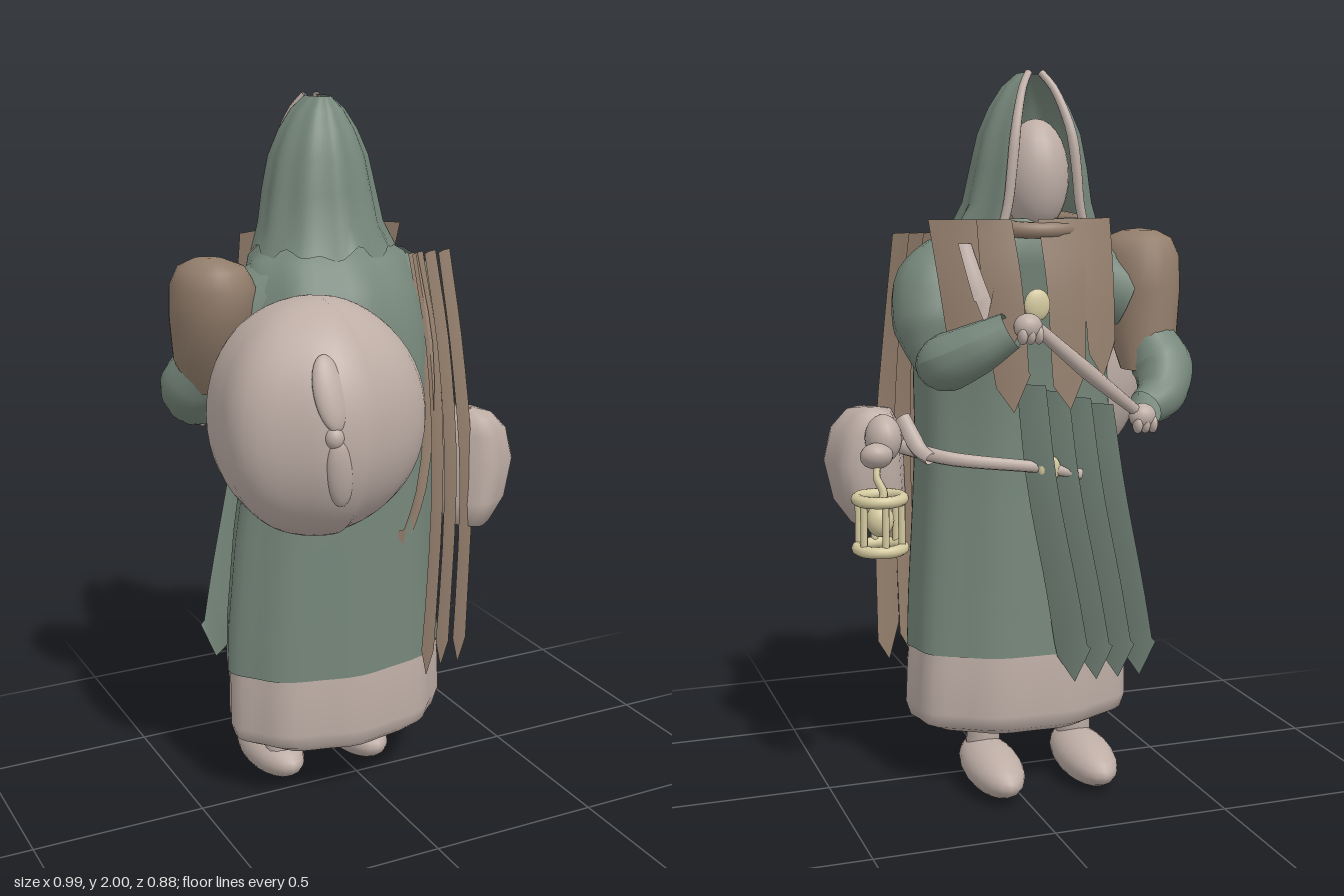
import * as THREE from 'three';

const mat = (name, color) => {
  const m = new THREE.MeshStandardMaterial({ color, side: THREE.DoubleSide });
  m.name = name;
  return m;
};
const V = (p) => new THREE.Vector3(...p);

export function createModel() {
  const green = mat('green cloth', 0x76877b), beige = mat('pale cloth', 0xbeaea6);
  const brown = mat('brown cloth', 0x937e6c), brass = mat('brass', 0xd4c99f);
  const model = new THREE.Group();
  model.name = 'hoodedTraveller';

  const add = (name, geo, m, parent = model) => {
    const mesh = new THREE.Mesh(geo, m);
    mesh.name = name;
    parent.add(mesh);
    return mesh;
  };
  const ball = (name, pos, r, m, rot = [0, 0, 0], parent = model) => {
    const b = add(name, new THREE.SphereGeometry(1, 20, 14), m, parent);
    b.position.set(...pos);
    b.scale.set(...r);
    b.rotation.set(...rot);
    return b;
  };

  // Surface through sections [y, cx, cz, rx, rz], bottom up; angle 0 is +z
  function loft(rows, { from = 0, to = Math.PI * 2, n = 48, wave = 0, folds = 9, ragged = 0 } = {}) {
    const closed = to - from > 6.28, cols = closed ? n : n + 1, pos = [], idx = [];
    rows.forEach(([y, cx, cz, rx, rz], j) => {
      for (let i = 0; i < cols; i++) {
        const a = from + (to - from) * i / n;
        const k = 1 + wave * Math.cos(folds * a + 0.4);
        const dy = j === 0 ? ragged * (Math.sin(a * 11) + Math.sin(a * 7 + 1)) : 0;
        pos.push(cx + rx * k * Math.sin(a), y + dy, cz + rz * k * Math.cos(a));
        if (j < rows.length - 1 && i < n) {
          const p = j * cols + i, q = j * cols + (i + 1) % cols;
          idx.push(p, q, q + cols, p, q + cols, p + cols);
        }
      }
    });
    const g = new THREE.BufferGeometry();
    g.setAttribute('position', new THREE.Float32BufferAttribute(pos, 3));
    g.setIndex(idx);
    g.computeVertexNormals();
    return g;
  }

  // Tube along points with a radius per point
  function limb(points, radii, sides = 14) {
    const n = 16, curve = new THREE.CatmullRomCurve3(points.map(V));
    const g = new THREE.TubeGeometry(curve, n, 1, sides), p = g.attributes.position;
    for (let i = 0; i <= n; i++) {
      const c = curve.getPointAt(i / n), t = i / n * (radii.length - 1);
      const k = Math.min(Math.floor(t), radii.length - 2);
      const r = THREE.MathUtils.lerp(radii[k], radii[k + 1], t - k);
      for (let s = 0; s <= sides; s++) {
        const q = i * (sides + 1) + s, v = new THREE.Vector3().fromBufferAttribute(p, q);
        v.sub(c).multiplyScalar(r).add(c);
        p.setXYZ(q, v.x, v.y, v.z);
      }
    }
    g.computeVertexNormals();
    return g;
  }

  // Hanging ribbon with a slanted, torn end
  function ribbon(points, w0, w1, across = [1, 0, 0], tear = 0.05) {
    const n = 10, curve = new THREE.CatmullRomCurve3(points.map(V)), d = V(across).normalize();
    const pos = [], idx = [];
    for (let i = 0; i <= n; i++) {
      const c = curve.getPoint(i / n), w = THREE.MathUtils.lerp(w0, w1, i / n) / 2;
      [-1, 0, 1].forEach((s) => {
        const v = c.clone().addScaledVector(d, s * w);
        if (i === n) v.y += [tear, -tear, tear * 0.3][s + 1];
        pos.push(v.x, v.y, v.z + (s === 0 ? -0.008 : 0));
      });
      if (i < n) for (let s = 0; s < 2; s++) {
        const p = i * 3 + s;
        idx.push(p, p + 3, p + 4, p, p + 4, p + 1);
      }
    }
    const g = new THREE.BufferGeometry();
    g.setAttribute('position', new THREE.Float32BufferAttribute(pos, 3));
    g.setIndex(idx);
    g.computeVertexNormals();
    return g;
  }

  // Robe and its pale hem
  add('robe', loft([
    [0.41, -0.065, -0.03, 0.33, 0.205], [0.55, -0.065, -0.028, 0.325, 0.203], [0.8, -0.06, -0.025, 0.305, 0.2],
    [1.0, -0.05, -0.022, 0.285, 0.197], [1.2, -0.04, -0.03, 0.28, 0.2],
    [1.38, -0.035, -0.05, 0.275, 0.205], [1.5, -0.035, -0.085, 0.255, 0.195],
    [1.57, -0.04, -0.11, 0.225, 0.175], [1.62, -0.045, -0.13, 0.15, 0.12],
  ], { wave: 0.02 }), green);
  add('hem', loft([
    [0.18, -0.06, -0.025, 0.27, 0.175], [0.2, -0.06, -0.03, 0.315, 0.2], [0.24, -0.06, -0.03, 0.328, 0.21],
    [0.36, -0.062, -0.03, 0.325, 0.208], [0.42, -0.065, -0.03, 0.322, 0.203],
  ], { wave: 0.025 }), beige);

  // Hood, open towards -z, with corded rim and face
  const hoodRows = [
    [1.59, -0.045, -0.12, 0.2, 0.18], [1.66, -0.045, -0.135, 0.172, 0.165],
    [1.75, -0.045, -0.145, 0.155, 0.155], [1.84, -0.045, -0.148, 0.135, 0.142],
    [1.91, -0.045, -0.148, 0.105, 0.115], [1.965, -0.045, -0.148, 0.07, 0.085],
    [2.0, -0.045, -0.148, 0.03, 0.055],
  ];
  const gap = 0.62;
  add('hood', loft(hoodRows, { from: gap - Math.PI, to: Math.PI - gap, wave: 0.03, folds: 10, ragged: 0.012 }), green);
  [-1, 1].forEach((s) => {
    const rim = hoodRows.map(([y, cx, cz, rx, rz]) =>
      [cx + s * rx * Math.sin(gap), y, cz - rz * Math.cos(gap)]);
    add('hoodCord', limb(rim, [0.013, 0.015, 0.01], 8), beige);
  });
  ball('face', [-0.045, 1.73, -0.2], [0.09, 0.15, 0.095], beige);

  // Shoes and ankles
  [-0.22, 0.06].forEach((x) => {
    ball('shoe', [x, 0.072, -0.145], [0.08, 0.066, 0.175], beige, [-0.05, 0, 0]);
    add('ankle', limb([[x, 0.4, -0.05], [x, 0.2, -0.07], [x, 0.08, -0.06]], [0.06, 0.045, 0.05]), beige);
  });

  // Left arm: full upper sleeve, forearm bent across the chest
  ball('leftShoulder', [0.15, 1.46, -0.1], [0.125, 0.11, 0.13], green);
  add('leftUpperSleeve', limb([[0.14, 1.5, -0.1], [0.21, 1.42, -0.14], [0.235, 1.3, -0.19], [0.24, 1.22, -0.22]],
    [0.1, 0.125, 0.11, 0.05]), green);
  add('leftForearm', limb([[0.24, 1.235, -0.2], [0.235, 1.25, -0.29], [0.17, 1.29, -0.35], [0.09, 1.34, -0.39]],
    [0.05, 0.078, 0.068, 0.05]), green);

  // Right arm: brown overlay bulging at the top, green forearm
  add('rightOversleeve', loft([
    [1.2, -0.37, -0.19, 0.06, 0.07], [1.3, -0.385, -0.15, 0.095, 0.105], [1.42, -0.385, -0.12, 0.112, 0.135],
    [1.51, -0.38, -0.115, 0.115, 0.138], [1.56, -0.385, -0.11, 0.09, 0.11], [1.58, -0.39, -0.11, 0.045, 0.06], [1.585, -0.39, -0.11, 0.002, 0.002],
  ], { n: 28 }), brown);
  add('rightUpperSleeve', limb([[-0.2, 1.46, -0.1], [-0.34, 1.4, -0.14]], [0.12, 0.1]), green);
  add('rightForearm', limb([[-0.39, 1.28, -0.18], [-0.41, 1.2, -0.24], [-0.38, 1.14, -0.29], [-0.32, 1.11, -0.325]], [0.075, 0.085, 0.07, 0.05]), green);

  // Hands, with small fingers
  [[0.05, 1.35, -0.41], [-0.305, 1.09, -0.34]].forEach(([x, y, z]) => {
    ball('hand', [x, y, z], [0.038, 0.035, 0.033], beige);
    for (let i = 0; i < 3; i++) ball('finger', [x - 0.025 + i * 0.022, y - 0.02, z - 0.012], [0.013, 0.025, 0.02], beige);
  });

  // Staff held between the hands, belt and brass discs
  add('staff', limb([[0.05, 1.37, -0.4], [-0.12, 1.23, -0.38], [-0.32, 1.08, -0.335]], [0.016, 0.022, 0.014], 8), beige);
  add('belt', limb([[0.3, 1.0, -0.1], [0.2, 0.98, -0.21], [-0.05, 0.95, -0.27], [-0.15, 0.93, -0.29]], [0.022, 0.018, 0.015], 8), beige);
  ball('brooch', [0.005, 1.4, -0.355], [0.036, 0.042, 0.015], brass);
  ball('buckle', [-0.06, 0.95, -0.28], [0.032, 0.036, 0.015], brass);

  // Brown scarf: collar, chest straps and a pale tuft
  const collar = add('collar', new THREE.TorusGeometry(0.13, 0.022, 10, 32), brown);
  collar.rotation.x = Math.PI / 2 - 0.12;
  collar.position.set(-0.045, 1.605, -0.17);
  [
    [0.21, 0.19, 0.13, 1.3, 0.6, 0], [0.12, 0.07, 0.12, 1.17, 0.35, -0.025],
    [-0.08, -0.09, 0.13, 1.17, -0.1, -0.02], [-0.18, -0.19, 0.12, 1.25, -0.3, 0],
  ].forEach(([x0, x1, w, end, turn, dz]) => add('chestStrap',
    ribbon([[x0, 1.62, -0.275 + dz], [(x0 + x1) / 2, 1.45, -0.31 + dz], [x1, end, -0.33 + dz]], w, w * 0.75, [1, 0, turn]), brown));
  add('tuft', ribbon([[0.19, 1.56, -0.315], [0.17, 1.47, -0.345], [0.15, 1.4, -0.36]], 0.035, 0.05), beige);

  // Long green strips below the belt
  for (let i = 0; i < 4; i++) {
    const x = -0.01 - i * 0.065;
    add('greenStrip', ribbon([[x, 1.18 - i * 0.02, -0.27], [x - 0.03, 0.9, -0.28], [x - 0.09, 0.6, -0.28], [x - 0.13, 0.39, -0.27]],
      0.085, 0.1, [1, 0, 0.9]), green);
  }

  // Long brown strips over the left shoulder
  [[0.165, 0.07, 0.77, 0.045], [0.18, 0.165, 0.39, 0.09], [0.22, 0.225, 0.4, 0.095], [0.265, 0.295, 0.39, 0.1]]
    .forEach(([x0, x1, end, w], i) => add('brownStrip', ribbon([
      [x0, 1.575, 0.02], [x0 + 0.01, 1.3, 0.1 - i * 0.005], [(x0 + x1) / 2 + 0.015, 0.95, 0.15 - i * 0.012], [x1, end, 0.155 - i * 0.02],
    ], w * 0.8, w, [1, 0, i ? -0.75 : -0.3]), brown));

  // Lumpy pack, fuller on its outer side, with a knotted tie
  const packGeo = new THREE.SphereGeometry(1, 40, 28), pp = packGeo.attributes.position;
  const bulge = (v, power) => Math.sign(v) * Math.abs(v) ** power;
  for (let i = 0; i < pp.count; i++) {
    const [x, y, z] = [pp.getX(i), pp.getY(i), pp.getZ(i)];
    const k = 1 + 0.035 * Math.sqrt(Math.max(0, 1 - y * y)) * Math.cos(6 * Math.atan2(x, z) + 0.6);
    pp.setXYZ(i, bulge(x, x > 0 ? 1.12 : 0.9) * 0.295 * k, bulge(y, 0.95) * 0.325, bulge(z, x > 0 ? 1.12 : 0.95) * 0.27 * k);
  }
  packGeo.computeVertexNormals();
  add('pack', packGeo, beige).position.set(-0.19, 1.185, 0.15);
  ball('tieUpper', [-0.27, 1.31, 0.385], [0.045, 0.1, 0.025], beige, [-0.35, 0, 0.05]);
  ball('tieLower', [-0.25, 1.1, 0.4], [0.038, 0.1, 0.025], beige, [0.2, 0, 0.15]);
  ball('tieKnot', [-0.27, 1.2, 0.41], [0.025, 0.03, 0.025], beige);

  // Hip pouch with gathered neck
  add('pouch', loft([
    [0.765, 0.35, 0.02, 0.01, 0.01], [0.77, 0.35, 0.02, 0.065, 0.085], [0.84, 0.365, 0.012, 0.1, 0.108],
    [0.95, 0.38, 0.01, 0.11, 0.11], [1.04, 0.375, 0.005, 0.095, 0.108], [1.09, 0.365, 0.005, 0.06, 0.09], [1.1, 0.365, 0.0, 0.01, 0.01],
  ], { n: 32, wave: 0.06, folds: 5 }), beige);
  ball('pouchNeck', [0.36, 1.03, -0.12], [0.05, 0.065, 0.06], beige);
  ball('pouchFlap', [0.39, 0.99, -0.16], [0.045, 0.035, 0.045], beige, [0.4, 0.5, 0]);
  add('pouchCord', limb([[0.3, 1.08, -0.1], [0.27, 1.0, -0.16], [0.25, 0.98, -0.2]], [0.022, 0.025, 0.018], 8), beige);

  // Brass lantern
  const lantern = new THREE.Group();
  lantern.name = 'lantern';
  lantern.position.set(0.39, 0.745, -0.19);
  model.add(lantern);
  [0, 0.135].forEach((y) => {
    const ring = add('lanternRing', new THREE.TorusGeometry(0.062, 0.016, 10, 28), brass, lantern);
    ring.rotation.x = Math.PI / 2;
    ring.position.y = y;
  });
  for (let i = 0; i < 6; i++) {
    const a = i * Math.PI / 3;
    add('lanternBar', new THREE.CylinderGeometry(0.01, 0.01, 0.135, 8), brass, lantern)
      .position.set(0.06 * Math.sin(a), 0.067, 0.06 * Math.cos(a));
  }
  ball('lanternGlobe', [0, 0.075, 0], [0.038, 0.045, 0.038], brass, [0, 0, 0], lantern);
  add('lanternHook', limb([[0, 0.1, 0], [-0.01, 0.15, 0], [0.005, 0.19, 0.01], [0, 0.225, 0.02]], [0.014, 0.009], 8), brass, lantern);

  return model;
}
